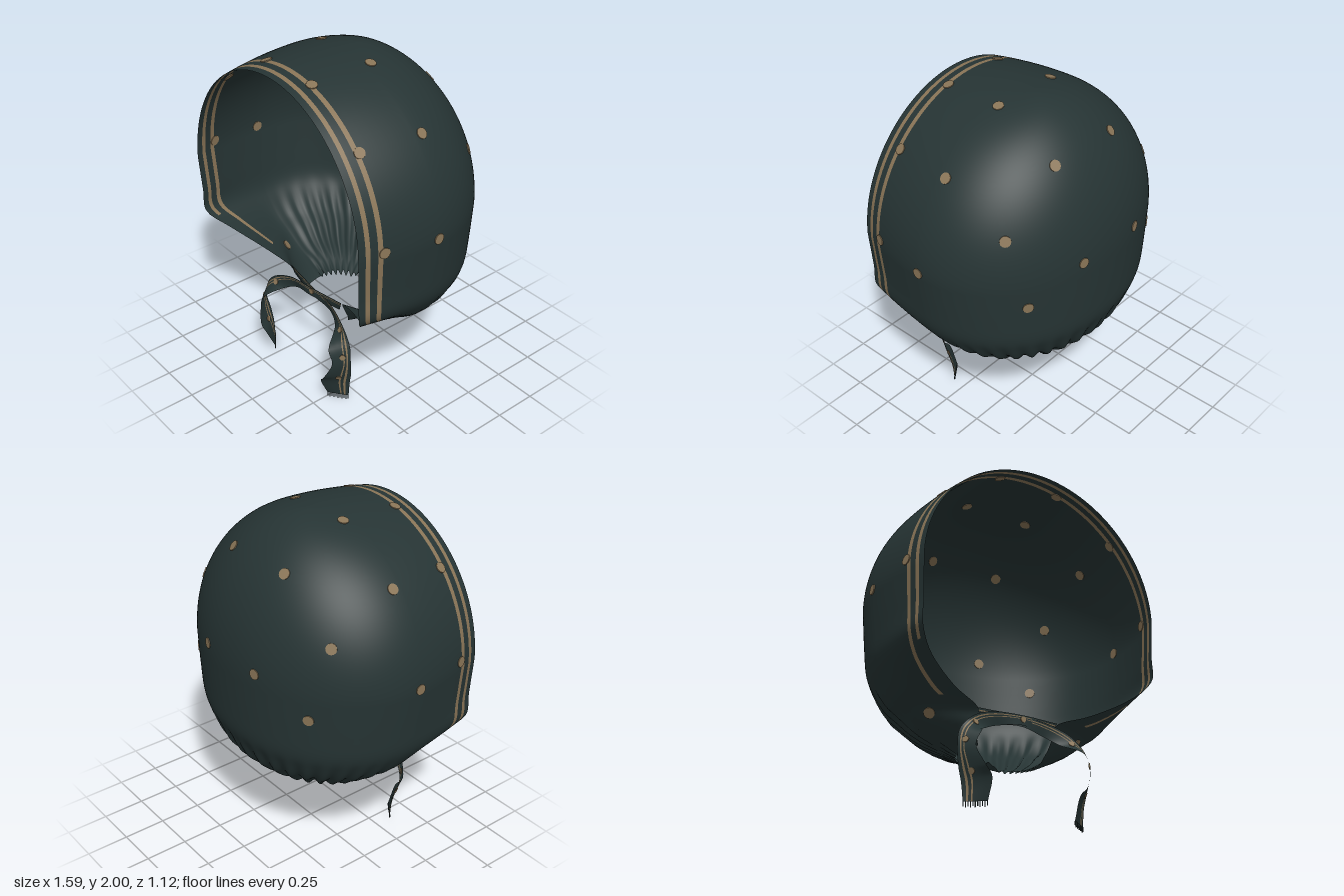
import * as THREE from 'three';
import { mergeVertices } from 'three/addons/utils/BufferGeometryUtils.js';

const cloth = new THREE.MeshStandardMaterial({ color: 0x263434, side: THREE.DoubleSide });
cloth.name = 'dark teal cloth';
const trim = new THREE.MeshStandardMaterial({ color: 0x8a7557, side: THREE.DoubleSide });
trim.name = 'tan trim';

const V = (x, y, z) => new THREE.Vector3(x, y, z);

// Grid surface; cells where isTrim(u, v) is true get the trim material
function gridSurface(point, us, vs, isTrim) {
  const pos = [], faces = [[], []], n = us.length;
  for (const v of vs) for (const u of us) pos.push(...point(u, v).toArray());
  for (let j = 0; j < vs.length - 1; j++) {
    for (let i = 0; i < n - 1; i++) {
      const a = j * n + i, b = a + 1, c = a + n, d = c + 1;
      const k = isTrim((us[i] + us[i + 1]) / 2, (vs[j] + vs[j + 1]) / 2) ? 1 : 0;
      faces[k].push(a, c, b, b, c, d);
    }
  }
  let geo = new THREE.BufferGeometry();
  geo.setAttribute('position', new THREE.Float32BufferAttribute(pos, 3));
  geo.setIndex([...faces[0], ...faces[1]]);
  geo = mergeVertices(geo, 1e-4);
  geo.clearGroups();
  geo.addGroup(0, faces[0].length, 0);
  geo.addGroup(faces[0].length, faces[1].length, 1);
  geo.computeVertexNormals();
  return new THREE.Mesh(geo, [cloth, trim]);
}

const steps = (n, a = 0, b = 1) => Array.from({ length: n + 1 }, (_, i) => a + (b - a) * i / n);

// Horizontal sections: height, half width, z of widest point, back z, front rim z, rim half width
const lower = [
  [0.42, 0.24, 0.05, -0.13, 0.20, 0.20],
  [0.47, 0.35, 0.05, -0.24, 0.22, 0.22],
  [0.53, 0.46, 0.06, -0.33, 0.25, 0.23],
  [0.60, 0.55, 0.07, -0.41, 0.28, 0.25],
  [0.66, 0.63, 0.08, -0.465, 0.34, 0.42],
  [0.75, 0.70, 0.09, -0.51, 0.44, 0.60],
  [0.85, 0.75, 0.10, -0.545, 0.535, 0.70],
  [1.00, 0.77, 0.10, -0.555, 0.545, 0.705],
  [1.22, 0.79, 0.10, -0.56, 0.555, 0.715],
];
const columns = [1, 2, 3, 4, 5].map(c => new THREE.SplineCurve(lower.map(r => new THREE.Vector2(r[0], r[c]))));

// v in 0..1 runs from the neck to the widest height, 1..2 over the crown
function section(v) {
  if (v <= 1) {
    const p = columns.map(c => c.getPoint(v));
    return [p[0].x, ...p.map(q => q.y)];
  }
  const t = (v - 1) * Math.PI / 2, c = v === 2 ? 0 : Math.cos(t), s = Math.sin(t);
  return [1.22 + 0.78 * s, 0.79 * c, 0.1, -0.56 * c, 0.555 - 0.015 * s, 0.715 * c];
}

// u = 0 at the centre back, 1 at the widest point, 2 at the front rim (negative on the right)
function hoodPoint(u, v) {
  const [y0, w, zm, back, front, rim] = section(v);
  const s = Math.abs(u), side = Math.sign(u);
  let x, z, y = y0;
  const gather = THREE.MathUtils.smoothstep(0.85 - y0, 0, 0.43);
  if (s <= 1) {
    const a = s * Math.PI / 2;
    const pleat = 1 + 0.06 * gather * Math.sin(s * 62) * (1 - s ** 4);
    x = w * Math.sin(a) ** 0.95 * pleat;
    z = zm - (zm - back) * Math.cos(a) ** 0.95 * pleat;
    if (s === 1) { x = w; z = zm; }
  } else {
    const k = s - 1;
    x = w + (rim - w) * k ** 1.7;
    z = zm + (front - zm) * k;
    if (v > 1) y -= 0.035 * k * k * Math.sin((v - 1) * Math.PI / 2);
  }
  // Gathered neck hem, lifted at the centre back
  const hem = Math.max(0, (0.5 - y0) / 0.08);
  y += hem * (0.05 * (1 - THREE.MathUtils.smoothstep(x, 0.05, 0.13)) + 0.012 * Math.sin(s * 62) * (s < 1 ? 1 : 0));
  return V(side * x, y, z);
}

// Thin round spot lying on a surface
function spot(p, normal, r) {
  const m = new THREE.Mesh(new THREE.CylinderGeometry(r, r, 0.009, 14), trim);
  m.position.copy(p);
  m.quaternion.setFromUnitVectors(V(0, 1, 0), normal);
  m.name = 'spot';
  return m;
}

function buildHood() {
  const group = new THREE.Group();
  group.name = 'hood';
  const half = [...steps(72), ...[0.12, 0.24, 0.36, 0.48, 0.6, 0.71, 0.77, 0.815, 0.86, 0.915, 1].map(k => 1 + k)];
  const us = [...half.slice(1).reverse().map(u => -u), ...half];
  const vs = [...steps(40), ...steps(32, 1, 2).slice(1)];
  // Two stripes follow the face opening
  const shell = gridSurface(hoodPoint, us, vs, (u, v) => {
    const k = Math.abs(u) - 1;
    return v > 0.46 && ((k > 0.71 && k < 0.77) || (k > 0.86 && k < 0.915 && v > 0.7));
  });
  shell.name = 'hoodShell';
  group.add(shell);

  // Spots, placed in mirrored pairs
  const targets = [
    [0.2, 1.97, 0.05], [0.6, 1.74, 0.05], [0.79, 1.23, 0.09],
    [0.22, 1.79, -0.34], [0.57, 1.51, -0.32], [0.21, 1.28, -0.53], [0.5, 1.1, -0.41],
    [0.19, 1.96, 0.415], [0.55, 1.73, 0.415], [0.74, 1.26, 0.415], [0.48, 0.54, 0.14],
  ];
  const ray = new THREE.Raycaster();
  for (const [x, y, z] of targets) for (const s of [-1, 1]) {
    const from = V(0, 1.2, Math.max(0, z));
    ray.set(from, V(s * x, y, z).sub(from).normalize());
    const hit = ray.intersectObject(shell)[0];
    if (hit) group.add(spot(hit.point, hit.face.normal, 0.03));
  }
  return group;
}

// Ribbon edges: outer edge xyz, inner edge xyz
const ribbon = [
  [-0.24, 0.60, 0.27, -0.20, 0.52, 0.25],
  [0, 0.59, 0.30, 0, 0.53, 0.30],
  [0.18, 0.57, 0.31, 0.15, 0.50, 0.29],
  [0.31, 0.51, 0.33, 0.23, 0.46, 0.32],
  [0.385, 0.42, 0.34, 0.31, 0.39, 0.43],
  [0.40, 0.32, 0.345, 0.34, 0.31, 0.43],
  [0.385, 0.22, 0.33, 0.30, 0.20, 0.46],
  [0.365, 0.13, 0.325, 0.26, 0.15, 0.45],
  [0.355, 0.03, 0.325, 0.255, 0.03, 0.40],
];

// One tie crosses under the chin and hangs on the given side
function buildTie(side) {
  const group = new THREE.Group();
  group.name = side > 0 ? 'leftTie' : 'rightTie';
  const lift = side > 0 ? 0 : 0.025;
  const edge = o => new THREE.CatmullRomCurve3(ribbon.map(r => V(
    side * r[o],
    r[o + 1] + lift * (1 - r[o + 1] / 0.6),
    r[o + 2] + (side < 0 && r[o + 1] > 0.45 ? 0.012 : 0))));
  const outer = edge(0), inner = edge(3);
  const point = (u, v) => outer.getPoint(v).lerp(inner.getPoint(v), u);
  const strap = gridSurface(point, [0, 0.14, 0.22, 0.32, 0.38, 0.6, 0.8, 1], steps(64),
    u => (u > 0.14 && u < 0.22) || (u > 0.32 && u < 0.38));
  strap.name = 'strap';
  group.add(strap);

  for (const v of [0.12, 0.4, 0.58, 0.8]) {
    const p = point(0.42, v);
    const n = point(1, v).sub(p).cross(point(0.42, v + 0.02).sub(p)).normalize();
    group.add(spot(p, n, 0.017));
  }

  // Frayed threads at the end
  for (let i = 0; i < 11; i++) {
    const length = 0.024 + 0.006 * (i % 2);
    const thread = new THREE.Mesh(new THREE.BoxGeometry(0.004, length, 0.004), cloth);
    thread.position.copy(point(0.02 + 0.096 * i, 1));
    thread.position.y -= length / 2;
    thread.name = 'fringeThread';
    group.add(thread);
  }
  return group;
}

export function createModel() {
  const model = new THREE.Group();
  model.name = 'bonnet';
  model.add(buildHood(), buildTie(1), buildTie(-1));
  return model;
}
